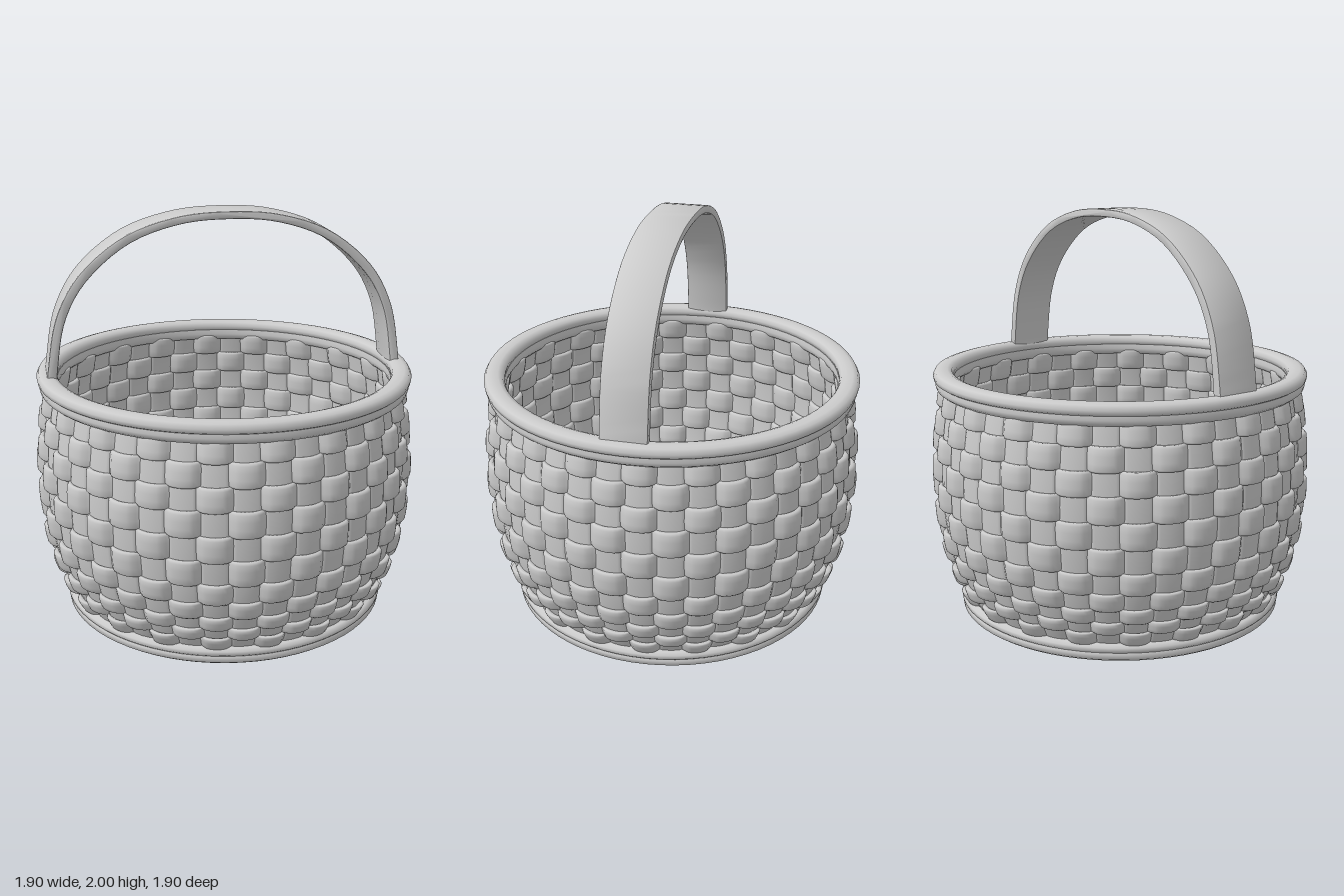
import * as THREE from 'three';
import { toCreasedNormals } from 'three/addons/utils/BufferGeometryUtils.js';

const COLUMNS = 40;
const STEP = (Math.PI * 2) / COLUMNS;

// Barrel profile of the outermost weave: [height, radius]
const PROFILE = [[0, 0.77], [0.08, 0.815], [0.15, 0.853], [0.26, 0.89], [0.36, 0.917], [0.46, 0.933],
  [0.6, 0.945], [0.75, 0.947], [0.9, 0.938], [1.04, 0.92], [1.2, 0.89]];
// Boundaries between the woven rows, top to bottom
const ROWS = [1.15, 1.04, 0.93, 0.82, 0.7, 0.58, 0.46, 0.36, 0.275, 0.205, 0.145, 0.075];

// Radius of the middle of the wall at a height
function wallRadius(y) {
  const i = Math.max(1, PROFILE.findIndex((p) => p[0] >= y));
  const [y0, r0] = PROFILE[i - 1], [y1, r1] = PROFILE[i];
  return r0 + ((r1 - r0) * (y - y0)) / (y1 - y0) - 0.041;
}

// Skin a list of closed cross-sections with equal point counts
function loft(sections, closed) {
  const n = sections[0].length, pos = sections.flat().flatMap((v) => [v.x, v.y, v.z]), index = [];
  const last = closed ? sections.length : sections.length - 1;
  for (let s = 0; s < last; s++) {
    const t = (s + 1) % sections.length;
    for (let k = 0; k < n; k++) {
      const a = s * n + k, b = s * n + ((k + 1) % n), c = t * n + k, d = t * n + ((k + 1) % n);
      index.push(a, c, b, b, c, d);
    }
  }
  const g = new THREE.BufferGeometry();
  g.setAttribute('position', new THREE.Float32BufferAttribute(pos, 3));
  g.setIndex(index);
  g.computeVertexNormals();
  return g;
}

const polar = (r, a, y) => new THREE.Vector3(r * Math.sin(a), y, r * Math.cos(a));

// One horizontal strand passing alternately outside and inside the stakes
function weaverGeometry(top, bottom, phase) {
  const y = (top + bottom) / 2, half = (top - bottom) / 2 + 0.002;
  const slope = (wallRadius(top) - wallRadius(bottom)) / (top - bottom);
  const section = [[1, 0.3], [0.9, 0.82], [0.4, 1], [-0.4, 1], [-0.9, 0.82], [-1, 0.3],
    [-1, -0.3], [-0.9, -0.82], [-0.4, -1], [0.4, -1], [0.9, -0.82], [1, -0.3]];
  const sections = [], per = 8;
  for (let i = 0; i < COLUMNS * per; i++) {
    const a = (i / per) * STEP;
    const s = Math.sin((a * COLUMNS) / 2) * phase;
    const wave = Math.sign(s) * Math.pow(Math.abs(s), 0.55);
    sections.push(section.map(([u, v]) =>
      polar(wallRadius(y) + wave * 0.027 + u * 0.018 + v * half * slope, a, y + v * half)));
  }
  return loft(sections, true);
}

// One upright flat strip following the barrel, lofted from the rim down
function stakeGeometry() {
  const sections = [];
  for (let i = 0; i <= 14; i++) {
    const y = 1.16 - (i / 14) * 1.12, r = wallRadius(y), w = STEP * 0.46;
    sections.push([[0.006, -1], [0.013, -0.7], [0.016, 0], [0.013, 0.7], [0.006, 1],
      [-0.006, 1], [-0.013, 0.7], [-0.016, 0], [-0.013, -0.7], [-0.006, -1]]
      .map(([d, k]) => polar(r + d, k * w, y)));
  }
  return loft(sections, false);
}

// Turned closed ring from [radius, height] corners, counter-clockwise
function ring(points) {
  const pts = [...points, points[0]].map(([r, y]) => new THREE.Vector2(r, y));
  return toCreasedNormals(new THREE.LatheGeometry(pts, 72), 0.9);
}

// Arched flat band, wide along z
function handleGeometry() {
  const side = (points) => {
    const right = points.map(([x, y]) => new THREE.Vector2(x, y));
    const left = points.slice(0, -1).reverse().map(([x, y]) => new THREE.Vector2(-x, y));
    return new THREE.SplineCurve([...right, ...left]).getPoints(56);
  };
  const outer = side([[0.887, 1.15], [0.874, 1.28], [0.826, 1.52], [0.71, 1.725], [0.5, 1.895], [0.25, 1.98], [0, 2]]);
  const inner = side([[0.835, 1.15], [0.828, 1.27], [0.785, 1.5], [0.678, 1.69], [0.478, 1.858], [0.24, 1.943], [0, 1.963]]);
  const b = 0.008;
  const g = new THREE.ExtrudeGeometry(new THREE.Shape([...outer, ...inner.reverse()]), {
    depth: 0.22 - 2 * b, bevelEnabled: true, bevelSize: b, bevelOffset: -b, bevelThickness: b, bevelSegments: 2,
  });
  g.translate(0, 0, -0.11 + b);
  return toCreasedNormals(g, 0.6);
}

export function createModel() {
  const basket = new THREE.Group();
  basket.name = 'basket';
  const material = new THREE.MeshStandardMaterial({ color: 0xcccccc });
  const add = (parent, name, geometry) => {
    const mesh = new THREE.Mesh(geometry, material);
    mesh.name = name;
    parent.add(mesh);
    return mesh;
  };

  // Woven wall
  const weave = new THREE.Group();
  weave.name = 'wovenWall';
  basket.add(weave);
  for (let i = 0; i < ROWS.length - 1; i++) {
    add(weave, 'weaver', weaverGeometry(ROWS[i], ROWS[i + 1], i % 2 ? -1 : 1));
  }
  const stake = stakeGeometry();
  for (let j = 0; j < COLUMNS; j++) add(weave, 'stake', stake).rotation.y = (j + 0.5) * STEP;

  // Rim: a wide top hoop over a slightly narrower band
  add(basket, 'rimHoop', ring([[0.845, 1.175], [0.91, 1.175], [0.926, 1.185], [0.93, 1.205],
    [0.918, 1.226], [0.895, 1.232], [0.86, 1.232], [0.838, 1.224], [0.828, 1.205], [0.832, 1.185]]));
  add(basket, 'rimBand', ring([[0.838, 1.13], [0.9, 1.13], [0.915, 1.142], [0.92, 1.16],
    [0.914, 1.185], [0.83, 1.185], [0.825, 1.16], [0.828, 1.142]]));

  // Foot ring and floor
  add(basket, 'footRing', ring([[0.765, 0], [0.8, 0], [0.816, 0.012], [0.818, 0.035], [0.813, 0.043],
    [0.822, 0.052], [0.82, 0.07], [0.805, 0.08], [0.74, 0.08], [0.74, 0.012]]));
  add(basket, 'floor', new THREE.CylinderGeometry(0.77, 0.765, 0.05, 72)).position.y = 0.035;

  add(basket, 'handle', handleGeometry());
  return basket;
}
